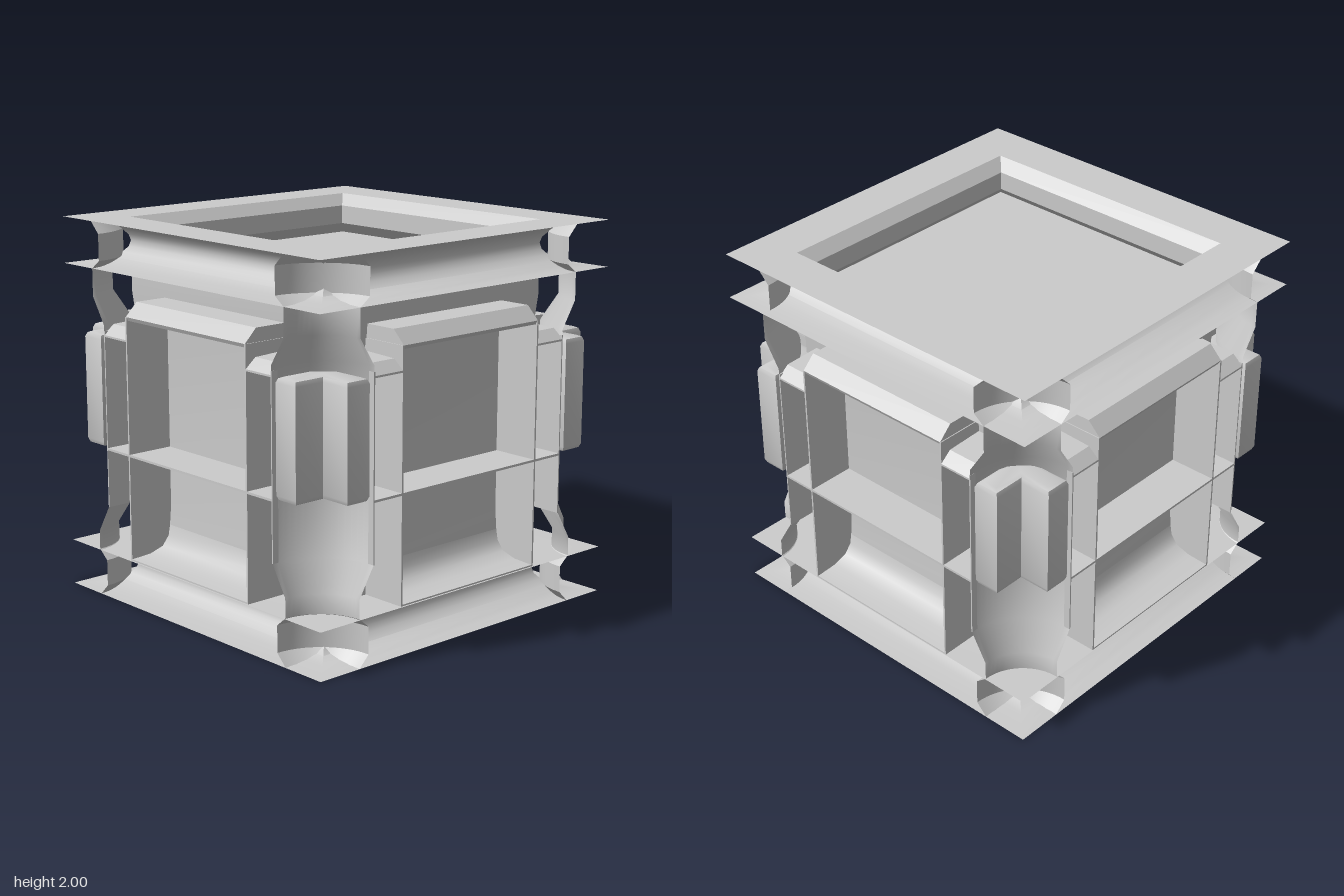
import * as THREE from 'three';
import { toCreasedNormals } from 'three/addons/utils/BufferGeometryUtils.js';

const material = new THREE.MeshStandardMaterial({ color: 0xcccccc, side: THREE.DoubleSide });

function part(name, geometry, x = 0, y = 0, z = 0) {
  const mesh = new THREE.Mesh(toCreasedNormals(geometry, 0.6), material);
  mesh.name = name;
  mesh.position.set(x, y, z);
  return mesh;
}

const box = (name, x0, x1, y0, y1, z0, z1) => part(name,
  new THREE.BoxGeometry(x1 - x0, y1 - y0, z1 - z0), (x0 + x1) / 2, (y0 + y1) / 2, (z0 + z1) / 2);

// Solid bar running along x, from a closed outline of [z, y] points
function bar(name, outline, x0, x1) {
  const shape = new THREE.Shape(outline.map(([z, y]) => new THREE.Vector2(-z, y)));
  const geometry = new THREE.ExtrudeGeometry(shape, { depth: x1 - x0, bevelEnabled: false });
  geometry.rotateY(Math.PI / 2);
  return part(name, geometry, x0);
}

// Square body with recessed top and bottom, thin flanges and coved bands
function body() {
  const upper = [[0, 1.78], [0.75, 1.78], [0.69, 1.84], [0.69, 1.94], [0.75, 2], [1, 2]];
  for (let i = 1; i < 12; i++) {
    const a = Math.PI * i / 12;
    upper.push([1 - 0.25 * Math.sin(a), 1.8775 + 0.1225 * Math.cos(a)]);
  }
  upper.push([1, 1.755], [0.75, 1.75], [0.75, 1.61], [0.74, 1.5]);
  const lower = upper.map(([h, y]) => [h, 2 - y]).reverse();
  const points = [...upper, ...lower].map(([h, y]) => new THREE.Vector2(h * Math.SQRT2, y));
  return part('body', new THREE.LatheGeometry(points, 4, Math.PI / 4));
}

// Hollow corner with flared ends, curved about the vertical corner line
function cornerCove() {
  const profile = [[0.25, 0], [0.31, 0.06], [0.31, 0.2], [0.25, 0.25], [0.25, 0.35], [0.34, 0.5],
    [0.34, 1.47], [0.25, 1.61], [0.25, 1.755], [0.31, 1.8], [0.31, 1.94], [0.25, 2]];
  const points = profile.map(([r, y]) => new THREE.Vector2(r, y));
  return part('cornerCove', new THREE.LatheGeometry(points, 16, Math.PI, Math.PI / 2), 1, 0, 1);
}

// Bevelled corner block with a square notch
function cornerBlock() {
  const outline = [[0.69, 0.69], [1, 0.69], [1, 0.83], [0.83, 0.83], [0.83, 1], [0.69, 1]];
  const shape = new THREE.Shape(outline.map(([x, z]) => new THREE.Vector2(x, -z)));
  const b = 0.03;
  const geometry = new THREE.ExtrudeGeometry(shape, {
    depth: 0.605 - 2 * b, bevelThickness: b, bevelSize: b, bevelOffset: -b, bevelSegments: 2,
  });
  geometry.rotateX(-Math.PI / 2);
  return part('cornerBlock', geometry, 0, 0.815 + b, 0);
}

// One side: hood, shelf, sill, fins and groove caps, plus the corner at its left
function side() {
  const group = new THREE.Group();
  group.name = 'side';
  group.add(
    bar('hood', [[0.7, 1.52], [0.99, 1.52], [1, 1.54], [0.93, 1.61], [0.7, 1.61]], -0.47, 0.47),
    box('shelf', -0.66, 0.66, 0.808, 0.82, 0.7, 1),
    bar('sill', [[0.7, 0.25], [1, 0.25], [1, 0.258], [0.88, 0.265], [0.8, 0.29], [0.76, 0.34],
      [0.745, 0.42], [0.7, 0.42]], -0.47, 0.47),
    bar('shelfFillet', [[0.7, 0.815], [0.84, 0.815], [0.78, 0.79], [0.75, 0.73], [0.7, 0.65]], -0.47, 0.47),
  );
  for (const s of [-1, 1]) {
    const span = (a, b) => (s > 0 ? [a, b] : [-b, -a]);
    group.add(
      box('innerFin', ...span(0.465, 0.475), 0.25, 1.54, 0.7, 1),
      box('outerFin', ...span(0.655, 0.662), 0.5, 1.44, 0.7, 1),
      bar('grooveCap', [[0.7, 1.41], [1, 1.41], [1, 1.42], [0.94, 1.47], [0.7, 1.48]], ...span(0.47, 0.66)),
    );
  }
  group.add(cornerCove(), cornerBlock());
  return group;
}

export function createModel() {
  const model = new THREE.Group();
  model.name = 'panelledCrate';
  model.add(body());
  for (let i = 0; i < 4; i++) {
    const s = side();
    s.rotation.y = i * Math.PI / 2;
    model.add(s);
  }
  return model;
}
